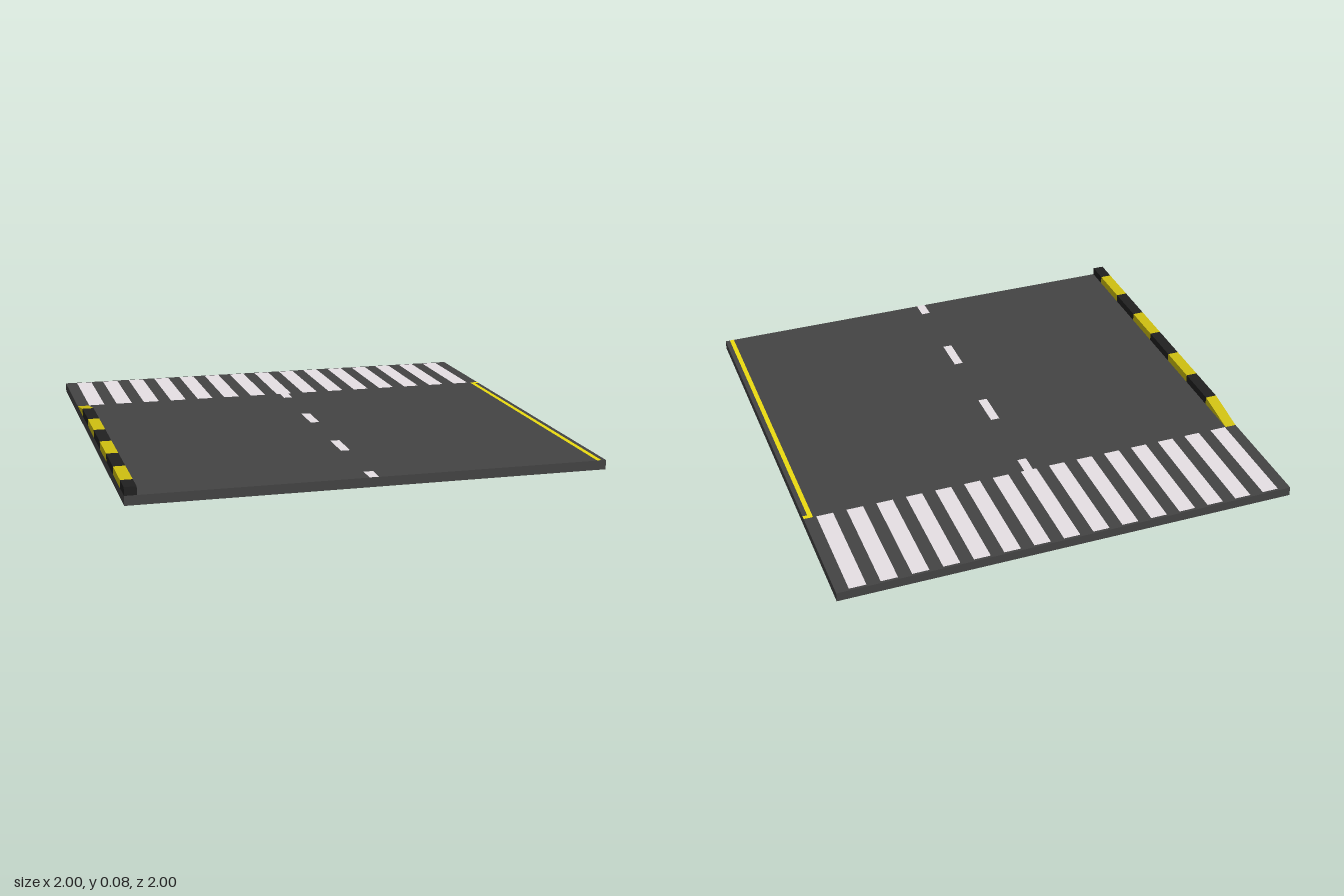
import * as THREE from 'three';

const ROAD_TOP = 0.04, CURB_TOP = 0.075, PAINT_TOP = 0.0408;

const asphalt = new THREE.MeshStandardMaterial({ color: 0x444444 });
const white = new THREE.MeshStandardMaterial({ color: 0xe6e0e4 });
const lineYellow = new THREE.MeshStandardMaterial({ color: 0xecdc10 });
const curbYellow = new THREE.MeshStandardMaterial({ color: 0xcfc010 });
const curbBlack = new THREE.MeshStandardMaterial({ color: 0x202020 });

function add(parent, name, geometry, material) {
  const mesh = new THREE.Mesh(geometry, material);
  mesh.name = name;
  parent.add(mesh);
  return mesh;
}

// Box given by its limits on each axis
function box(x0, x1, y0, y1, z0, z1) {
  return new THREE.BoxGeometry(x1 - x0, y1 - y0, z1 - z0)
    .translate((x0 + x1) / 2, (y0 + y1) / 2, (z0 + z1) / 2);
}

// Flat road marking just above the asphalt
function paint(x0, x1, z0, z1) {
  return new THREE.PlaneGeometry(x1 - x0, z1 - z0)
    .rotateX(-Math.PI / 2)
    .translate((x0 + x1) / 2, PAINT_TOP, (z0 + z1) / 2);
}

function subgroup(parent, name) {
  const group = new THREE.Group();
  group.name = name;
  parent.add(group);
  return group;
}

export function createModel() {
  const model = new THREE.Group();
  model.name = 'roadTile';

  add(model, 'roadSlab', box(-1, 1, 0, ROAD_TOP, -1, 1), asphalt);

  // Pedestrian crossing
  const crossing = subgroup(model, 'crosswalk');
  for (let i = -7; i <= 7; i++) {
    const x = i * 0.13;
    add(crossing, 'crosswalkStripe', paint(x - 0.036, x + 0.036, -0.99, -0.5), white);
  }

  // Dashed centre line, cut off at the crossing and the front edge
  const centre = subgroup(model, 'centreLine');
  for (const z of [-0.5, 0, 0.5, 1]) {
    add(centre, 'centreDash',
      paint(-0.02, 0.02, Math.max(z - 0.085, -0.5), Math.min(z + 0.085, 1)), white);
  }

  // Yellow edge line with a short return to the slab edge
  const edge = subgroup(model, 'edgeLine');
  add(edge, 'edgeStripe', paint(0.96, 0.98, -0.48, 1), lineYellow);
  add(edge, 'edgeStripeEnd', paint(0.96, 1, -0.5, -0.48), lineYellow);

  // Curb blocks in alternating colours
  const curb = subgroup(model, 'curb');
  const cuts = [1, 0.9, 0.7, 0.5, 0.3, 0.1, -0.1, -0.3];
  for (let i = 0; i < cuts.length - 1; i++) {
    add(curb, 'curbBlock', box(-1, -0.95, ROAD_TOP, CURB_TOP, cuts[i + 1], cuts[i]),
      i % 2 ? curbYellow : curbBlack);
  }

  // Sloped curb end: the far top edge drops to the road
  const ramp = box(-1, -0.95, ROAD_TOP, CURB_TOP, -0.5, -0.3);
  const p = ramp.attributes.position;
  for (let i = 0; i < p.count; i++) {
    if (p.getZ(i) < -0.4) p.setY(i, ROAD_TOP);
  }
  const slope = ramp.toNonIndexed();
  slope.computeVertexNormals();
  add(curb, 'curbRamp', slope, curbYellow);

  return model;
}
